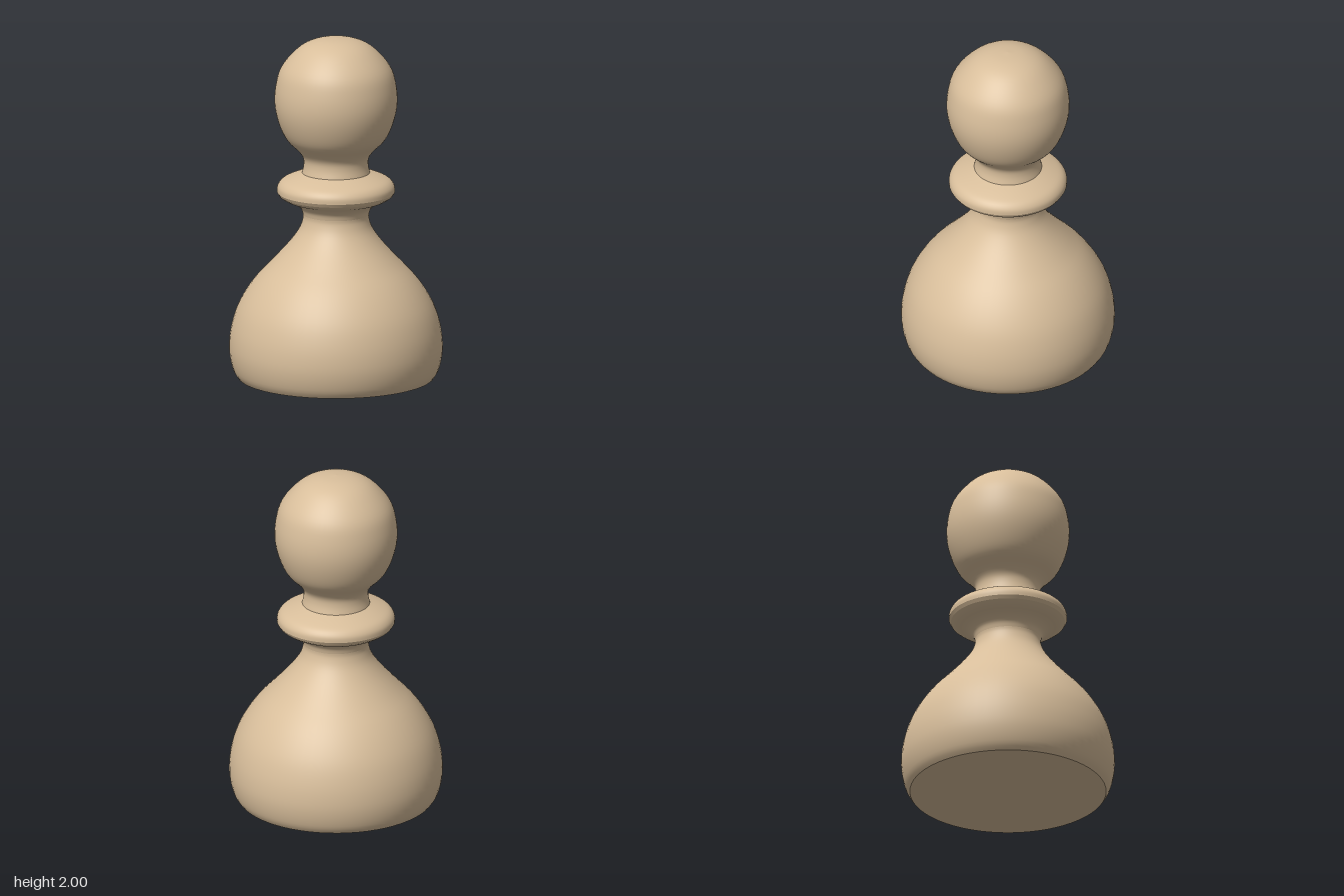
import * as THREE from 'three';

const material = new THREE.MeshStandardMaterial({ color: 0xd8be9b });

// Turns a profile of [radius, height] points; smooth profiles are run through a spline.
function turned(name, profile, divisions = 0) {
  let points = profile.map(([r, y]) => new THREE.Vector2(r, y));
  if (divisions) points = new THREE.SplineCurve(points).getPoints(divisions);
  points.forEach((p) => { p.x = Math.max(p.x, 0); });
  const mesh = new THREE.Mesh(new THREE.LatheGeometry(points, 64), material);
  mesh.name = name;
  return mesh;
}

export function createModel() {
  const pawn = new THREE.Group();
  pawn.name = 'pawn';

  // Flat underside and bell-shaped body
  pawn.add(turned('underside', [[0, 0], [0.565, 0]]));
  pawn.add(turned('body', [
    [0.565, 0], [0.59, 0.04], [0.609, 0.11], [0.615, 0.19], [0.604, 0.29], [0.572, 0.4],
    [0.52, 0.5], [0.45, 0.595], [0.36, 0.69], [0.27, 0.79], [0.213, 0.87], [0.191, 0.93], [0.19, 0.96],
  ], 40));

  // Collar: flared underside, narrow rim and rounded top
  const collar = new THREE.Group();
  collar.name = 'collar';
  collar.add(turned('collarFlare', [[0.19, 0.96], [0.202, 0.995], [0.24, 1.027], [0.295, 1.05], [0.328, 1.072]], 16));
  collar.add(turned('collarRim', [[0.328, 1.072], [0.34, 1.092]]));
  collar.add(turned('collarTop', [[0.34, 1.092], [0.337, 1.125], [0.312, 1.157], [0.26, 1.182], [0.195, 1.205]], 16));
  pawn.add(collar);

  // Waisted neck flowing into the ball head
  pawn.add(turned('neckAndHead', [
    [0.195, 1.205], [0.186, 1.25], [0.19, 1.295], [0.22, 1.338], [0.278, 1.395], [0.315, 1.46],
    [0.343, 1.545], [0.354, 1.63], [0.347, 1.72], [0.322, 1.81], [0.265, 1.89], [0.19, 1.955],
    [0.1, 1.99], [0, 2],
  ], 48));

  return pawn;
}
